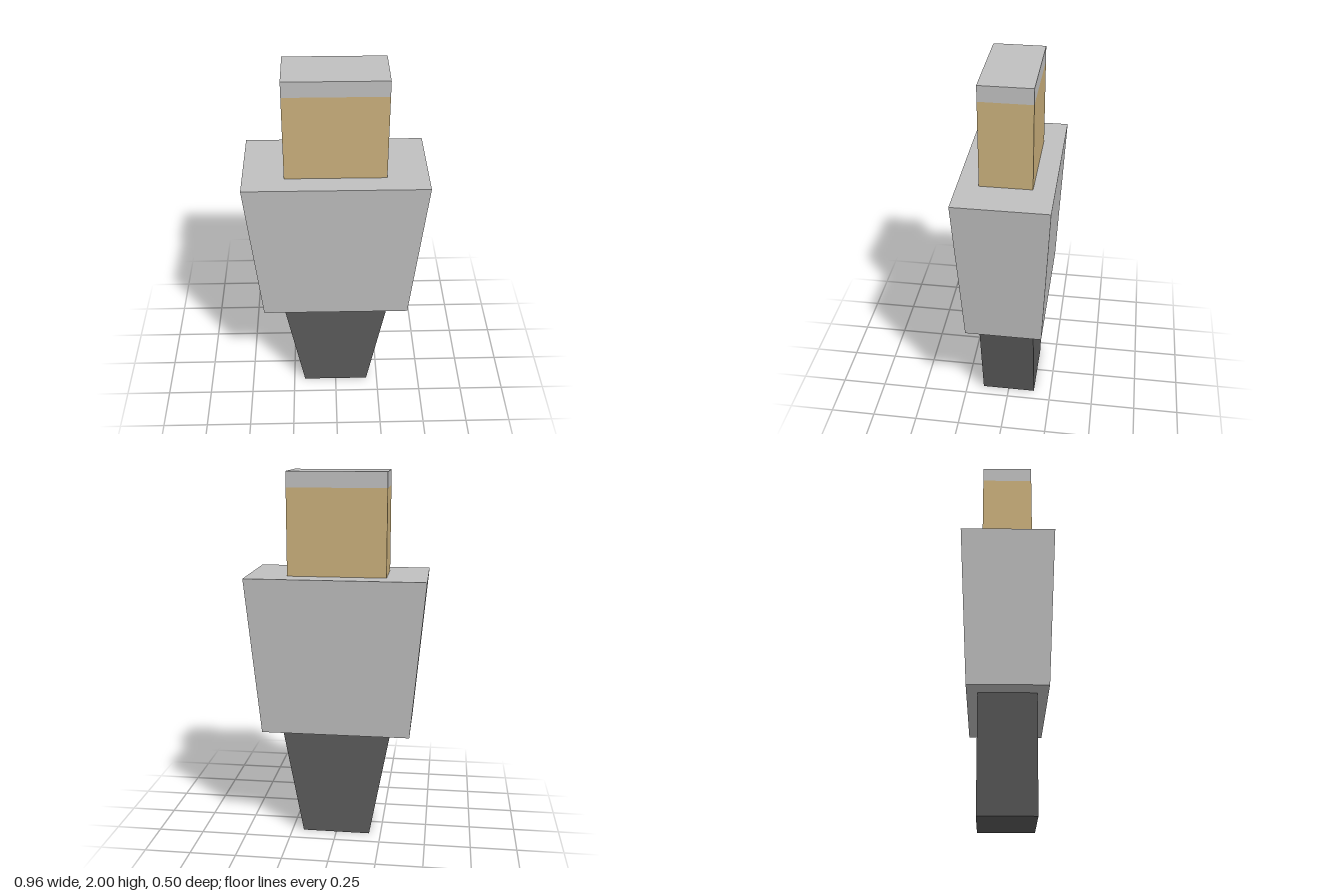
import * as THREE from 'three';

// Four-sided block whose bottom and top rectangles may differ (half-widths and half-depths).
function taperedBlock(name, material, y0, y1, bottom, top) {
  const geometry = new THREE.BoxGeometry(2, y1 - y0, 2);
  const pos = geometry.attributes.position;
  for (let i = 0; i < pos.count; i++) {
    const [hx, hz] = pos.getY(i) > 0 ? top : bottom;
    pos.setX(i, pos.getX(i) * hx);
    pos.setZ(i, pos.getZ(i) * hz);
  }
  geometry.translate(0, (y0 + y1) / 2, 0);
  geometry.computeVertexNormals();
  const mesh = new THREE.Mesh(geometry, material);
  mesh.name = name;
  return mesh;
}

function flatColor(name, color) {
  const material = new THREE.MeshStandardMaterial({ color });
  material.name = name;
  return material;
}

export function createModel() {
  const grey = flatColor('lightGrey', 0xc0c0c0);
  const tan = flatColor('tan', 0xcab07c);
  const dark = flatColor('darkGrey', 0x5b5b5b);

  const model = new THREE.Group();
  model.name = 'blockFigure';
  const head = [0.264, 0.137];
  model.add(
    // Legs narrow towards the ground in width only
    taperedBlock('legs', dark, 0, 0.6, [0.186, 0.152], [0.297, 0.152]),
    // Torso widens upwards on all four sides
    taperedBlock('torso', grey, 0.6, 1.455, [0.403, 0.208], [0.479, 0.249]),
    // Straight head with a thin cap of the same outline
    taperedBlock('head', tan, 1.455, 1.917, head, head),
    taperedBlock('headCap', grey, 1.917, 2, head, head),
  );
  return model;
}
